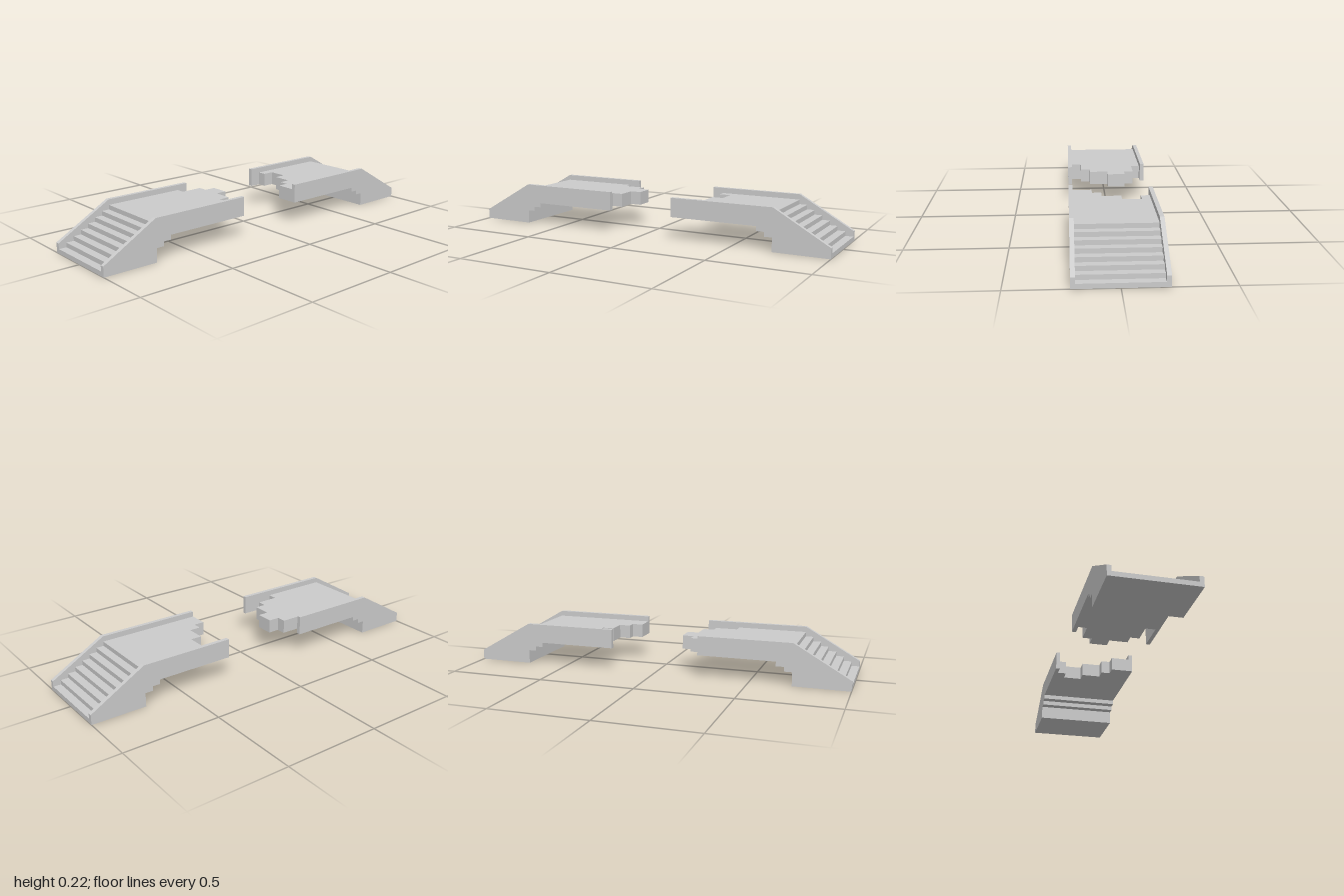
import * as THREE from 'three';

const RISE = 0.0235, RUN = 0.0408, STEPS = 8;
const INNER = 0.192, OUTER = 0.213;   // parapet faces in z
const FOOT = 0.715;                   // inner end of the abutment
const TOP = RISE * STEPS;             // deck surface
const SOFFIT = RISE * 5;              // deck underside
const JOIN = FOOT - 2 * RUN;          // where the stepped corbel meets the deck

const material = new THREE.MeshStandardMaterial({ color: 0xcccccc, flatShading: true });

function extrude(points, depth) {
  const shape = new THREE.Shape(points.map(([x, y]) => new THREE.Vector2(x, y)));
  return new THREE.ExtrudeGeometry(shape, { depth, bevelEnabled: false });
}

function addMesh(group, name, geometry) {
  const mesh = new THREE.Mesh(geometry, material);
  mesh.name = name;
  group.add(mesh);
}

// Stepped corbel under the deck, from the deck joint down to the ground
function corbel(side) {
  return [
    [side * JOIN, SOFFIT], [side * JOIN, RISE * 4],
    [side * (JOIN + RUN), RISE * 4], [side * (JOIN + RUN), RISE * 3],
    [side * FOOT, RISE * 3], [side * FOOT, 0],
  ];
}

// side: +1 or -1 in x; ends: where the back and front parapets break off;
// edge: broken deck edge as rows of [x, z where the row ends], back to front
function buildHalf(name, side, ends, edge) {
  const half = new THREE.Group();
  half.name = name;

  // Stair block with its stepped underside
  const stairs = [...corbel(side), [side, 0]];
  for (let i = 0; i < STEPS; i++) {
    const x = side * (1 - i * (1 - FOOT) / (STEPS - 1));
    if (i > 0) stairs.push([x, RISE * i]);
    stairs.push([x, RISE * (i + 1)]);
  }
  stairs.push([side * JOIN, TOP]);
  addMesh(half, 'stairs', extrude(stairs, 2 * INNER).translate(0, 0, -INNER));

  // Deck slab with a jagged broken edge
  const plan = [[side * JOIN, -INNER], [side * JOIN, INNER]];
  let z = -INNER;
  for (const [x, zEnd] of edge) {
    plan.push([x, -z], [x, -zEnd]);
    z = zEnd;
  }
  addMesh(half, 'deck',
    extrude(plan, TOP - SOFFIT).rotateX(-Math.PI / 2).translate(0, SOFFIT, 0));

  // Parapet walls sloping down along the stairs
  ['backParapet', 'frontParapet'].forEach((wall, i) => {
    const outline = [
      ...corbel(side), [side, 0], [side, 0.052], [side * FOOT, 0.216],
      [ends[i], 0.216], [ends[i], SOFFIT],
    ];
    addMesh(half, wall,
      extrude(outline, OUTER - INNER).translate(0, 0, i ? INNER : -OUTER));
  });
  return half;
}

export function createModel() {
  const model = new THREE.Group();
  model.name = 'brokenBridge';
  model.add(
    buildHalf('rightHalf', -1, [-0.235, -0.18], [
      [-0.293, -0.147], [-0.18, -0.098], [-0.122, -0.005],
      [-0.18, 0.092], [-0.237, 0.14], [-0.353, INNER],
    ]),
    buildHalf('leftHalf', 1, [0.23, 0.175], [
      [0.288, -0.147], [0.347, -0.05], [0.288, 0.048],
      [0.23, 0.095], [0.175, INNER],
    ]),
  );
  return model;
}
